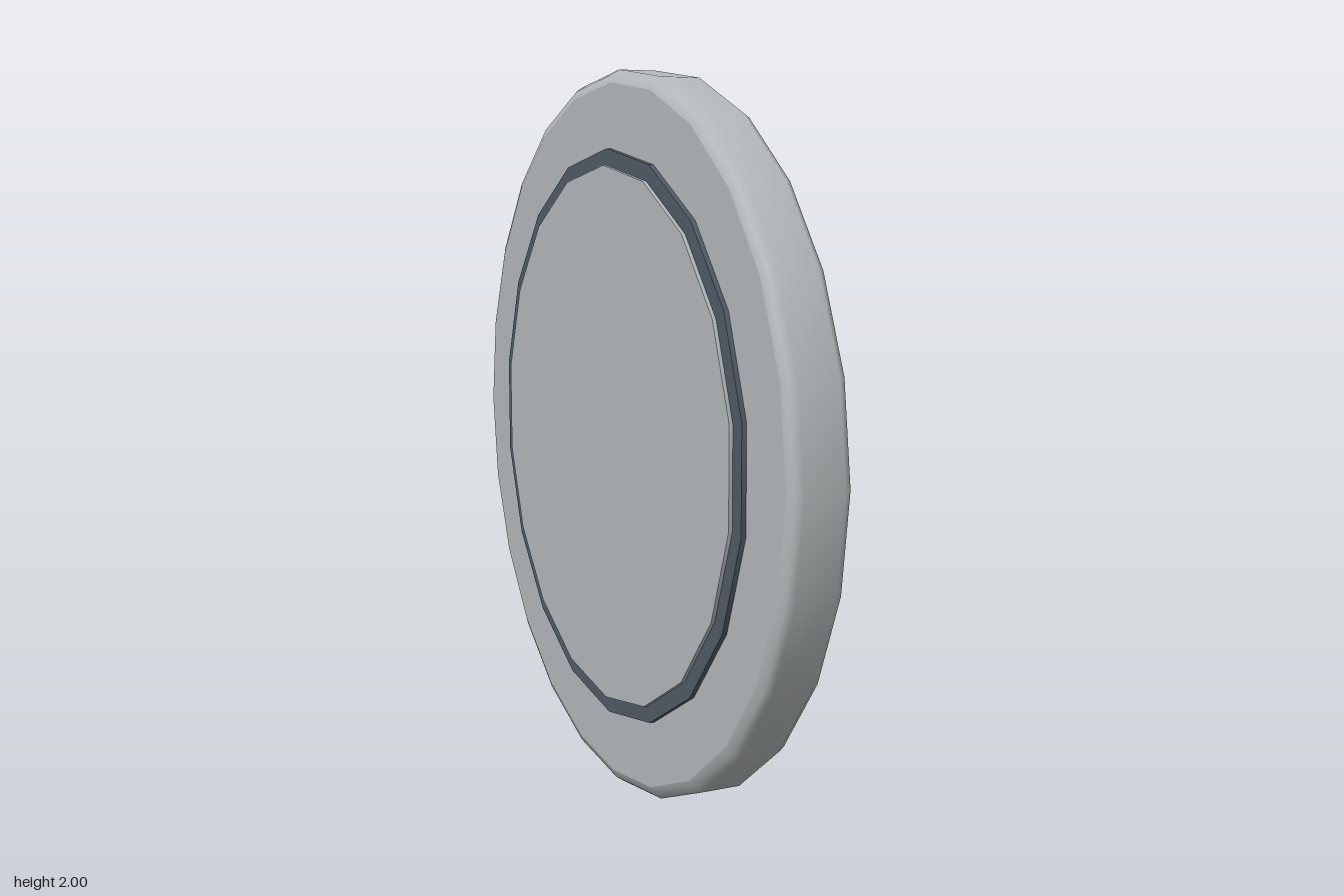
import * as THREE from 'three';

export function createModel() {
  const model = new THREE.Group();
  const grey = new THREE.MeshStandardMaterial({ color: 0xb4b9bb });
  grey.name = 'light grey';
  const slate = new THREE.MeshStandardMaterial({ color: 0x505b66 });
  slate.name = 'dark slate';

  function add(name, geometry, material, parent = model) {
    const mesh = new THREE.Mesh(geometry, material);
    mesh.name = name;
    parent.add(mesh);
    return mesh;
  }

  // Turns a y-axis solid onto the x axis, with a vertex at the top
  const toAxle = (g) => g.rotateZ(-Math.PI / 2).rotateX(Math.PI / 2);

  // Cylinder along x between two x positions
  function disc(radius, x0, x1, sides) {
    return toAxle(new THREE.CylinderGeometry(radius, radius, x1 - x0, sides))
      .translate((x0 + x1) / 2, 0, 0);
  }

  // Lathe around x from [radius, x] pairs
  function turned(points, sides) {
    return toAxle(new THREE.LatheGeometry(points.map((p) => new THREE.Vector2(...p)), sides));
  }

  // Outer rim: flat side faces and a rounded tread
  const rim = new THREE.Group();
  rim.name = 'outerRim';
  model.add(rim);
  add('rimTread', turned([[0.965, -0.177], [0.988, -0.168], [1, -0.15],
    [1, -0.04], [0.988, -0.021], [0.965, -0.012]], 24), grey, rim);
  add('rimBackFace', turned([[0.7, -0.177], [0.965, -0.177]], 24), grey, rim);
  add('rimFrontFace', turned([[0.965, -0.012], [0.7, -0.012]], 24), grey, rim);

  // Dark band and the panel set into it
  add('darkBand', disc(0.79, -0.19, 0.025, 18), slate);
  add('centrePanel', disc(0.745, -0.2, 0.038, 18), grey);

  // Flattened hub dome
  add('hubDome', new THREE.SphereGeometry(0.395, 16, 12).scale(0.48, 1, 1), grey);

  // Six spokes from the hub to the dark band
  for (let i = 0; i < 6; i++) {
    const spoke = add('spoke', new THREE.BoxGeometry(0.095, 0.135, 0.445)
      .translate(0.0385, 0, 0.5675), grey);
    spoke.rotation.x = (i * Math.PI) / 3;
  }

  model.children.forEach((part) => { part.position.y = 1; });
  return model;
}
